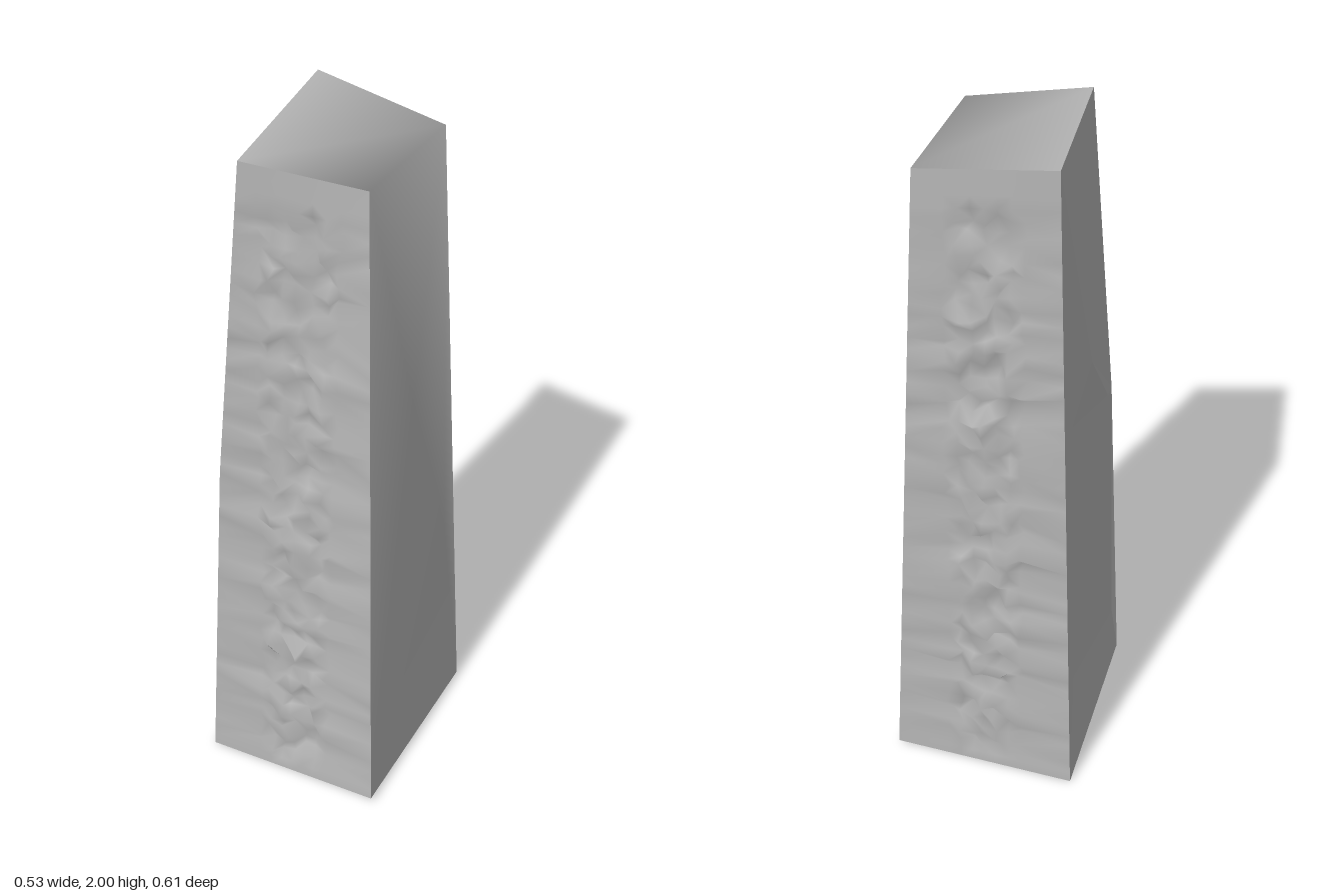
import * as THREE from 'three';

const V = (x, y, z) => new THREE.Vector3(x, y, z);

// corner posts of the tapered block, listed bottom to top
const frontRight = [V(-0.265, 0, 0.3), V(-0.22, 1.03, 0.27), V(-0.15, 1.975, 0.235)];
const frontLeft = [V(0.265, 0.02, 0.3), V(0.17, 1.94, 0.165)];
const backLeft = [V(0.265, 0.02, -0.3), V(0.185, 1.94, -0.23)];
const backRight = [V(-0.265, 0, -0.3), V(-0.19, 2, -0.25)];

// point at fraction v along a post
function along(post, v) {
  const f = v * (post.length - 1);
  const i = Math.min(Math.floor(f), post.length - 2);
  return post[i].clone().lerp(post[i + 1], f - i);
}

function seeded(seed) {
  return () => {
    seed = (seed * 1664525 + 1013904223) % 4294967296;
    return seed / 4294967296;
  };
}

function surface(name, points, faces, material, flat = false) {
  let geometry = new THREE.BufferGeometry().setFromPoints(points);
  geometry.setIndex(faces.flat());
  if (flat) geometry = geometry.toNonIndexed();
  geometry.computeVertexNormals();
  const mesh = new THREE.Mesh(geometry, material);
  mesh.name = name;
  return mesh;
}

// wall between two posts (left and right as seen from outside) with a rough carved strip
function carvedWall(name, left, right, out, seed, material) {
  const random = seeded(seed);
  const rows = 56;
  const strip = 7;
  const half = 0.105;
  const points = [];
  const faces = [];
  for (let j = 0; j <= rows; j++) {
    const v = j / rows;
    const a = along(left, v);
    const b = along(right, v);
    points.push(a);
    const carved = v > 0.03 && v < 0.93;
    for (let k = 0; k < strip; k++) {
      const inner = k > 0 && k < strip - 1;
      const x = out * half * (2 * k / (strip - 1) - 1);
      const p = a.clone().lerp(b, (x - a.x) / (b.x - a.x));
      if (carved) {
        p.x += (random() - 0.5) * 0.022;
        p.y += (random() - 0.5) * 0.03;
        p.z += out * ((random() - 0.5) * (inner ? 0.034 : 0.016) - 0.006);
      }
      points.push(p);
    }
    points.push(b);
  }
  const n = strip + 2;
  for (let j = 0; j < rows; j++) {
    for (let k = 0; k < n - 1; k++) {
      const p = j * n + k;
      if (random() < 0.5) faces.push([p, p + 1, p + n + 1], [p, p + n + 1, p + n]);
      else faces.push([p, p + 1, p + n], [p + 1, p + n + 1, p + n]);
    }
  }
  return surface(name, points, faces, material);
}

export function createModel() {
  const group = new THREE.Group();
  group.name = 'carvedPillar';
  const stone = new THREE.MeshStandardMaterial({ color: 0xb4b4b4, side: THREE.DoubleSide });
  stone.name = 'grey stone';

  // carved front and back; the underside stays open
  group.add(carvedWall('carvedFront', frontRight, frontLeft, 1, 7, stone));
  group.add(carvedWall('carvedBack', backLeft, backRight, -1, 23, stone));

  // left side flowing smoothly into the sloping top
  const cap = [
    frontLeft[0], backLeft[0], backLeft[1], frontLeft[1],
    V(0.21, 1.22, -0.03), V(0.235, 0.67, -0.22),
    backRight[1], frontRight[2],
  ];
  group.add(surface('leftSideAndTop', cap, [
    [0, 1, 5], [0, 5, 4], [0, 4, 3], [3, 4, 2], [4, 5, 2], [5, 1, 2],
    [3, 2, 7], [2, 6, 7],
  ], stone));

  // right side with a chipped, sunken facet
  const chipped = [
    backRight[0], frontRight[0], frontRight[1], frontRight[2], backRight[1],
    V(-0.215, 1.28, 0.03), V(-0.2, 1.16, -0.12), V(-0.226, 1.05, 0.2),
    V(-0.237, 0.3, -0.17), V(-0.25, 0.17, 0.27),
  ];
  group.add(surface('chippedRightSide', chipped, [
    [0, 1, 8], [1, 9, 8], [1, 2, 9], [9, 2, 7], [8, 9, 7], [8, 7, 6], [6, 7, 5],
    [7, 2, 5], [5, 2, 3], [5, 3, 4], [6, 5, 4], [8, 6, 4], [0, 8, 4],
  ], stone, true));

  return group;
}
